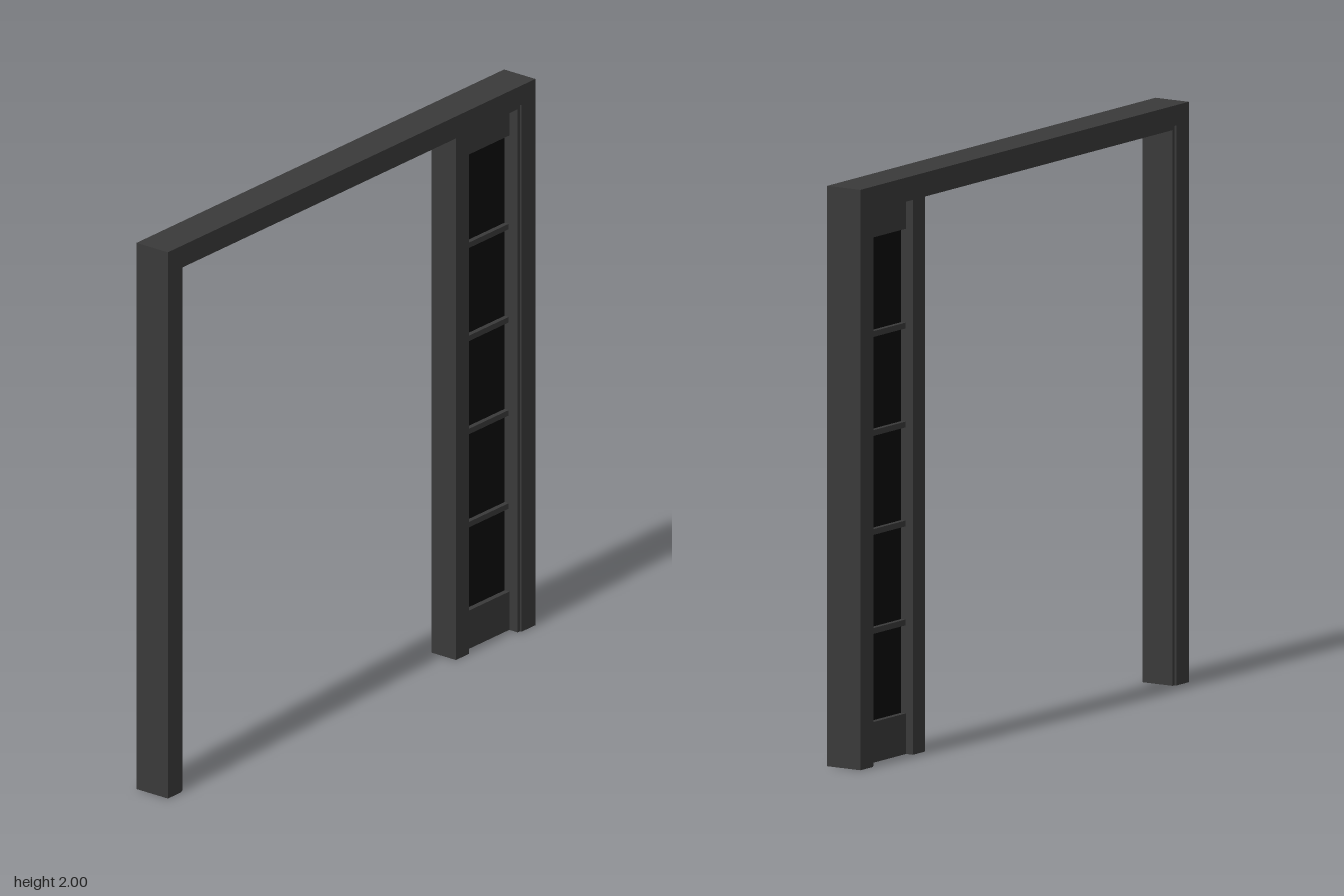
import * as THREE from 'three';

const frameMat = new THREE.MeshStandardMaterial({ color: 0x3a3a3a });
const glassMat = new THREE.MeshStandardMaterial({ color: 0x0b0b0b });

// Box given by its limits in x and y, centred on z
function slab(name, x0, x1, y0, y1, depth, mat = frameMat) {
  const mesh = new THREE.Mesh(new THREE.BoxGeometry(x1 - x0, y1 - y0, depth), mat);
  mesh.position.set((x0 + x1) / 2, (y0 + y1) / 2, 0);
  mesh.name = name;
  return mesh;
}

// Upside-down U between an outer and an inner outline, centred on z
function portal(name, outerX, outerY, innerX, innerY, depth) {
  const shape = new THREE.Shape([
    [-outerX, 0], [-innerX, 0], [-innerX, innerY], [innerX, innerY],
    [innerX, 0], [outerX, 0], [outerX, outerY], [-outerX, outerY],
  ].map(([x, y]) => new THREE.Vector2(x, y)));
  const geo = new THREE.ExtrudeGeometry(shape, { depth, bevelEnabled: false });
  geo.translate(0, 0, -depth / 2);
  const mesh = new THREE.Mesh(geo, frameMat);
  mesh.name = name;
  return mesh;
}

export function createModel() {
  const model = new THREE.Group();
  model.name = 'doorFrame';

  // Casing around the opening, with a slightly recessed inner lining
  model.add(portal('casing', 0.995, 2, 0.92, 1.93, 0.136));
  model.add(portal('jambLining', 0.92, 1.93, 0.907, 1.915, 0.122));

  // Narrow glazed side panel on the model's left
  const side = new THREE.Group();
  side.name = 'sidelight';
  const x0 = 0.655, x1 = 0.907;
  side.add(slab('mullionPost', 0.583, x0, 0, 1.915, 0.106));
  side.add(slab('bottomRail', x0, x1, 0, 0.14, 0.05));
  side.add(slab('topRail', x0, x1, 1.81, 1.915, 0.05));
  side.add(slab('glass', x0, x1, 0.14, 1.81, 0.01, glassMat));

  // Four bars divide the glass into five panes
  for (let i = 0; i < 4; i++) {
    const y = 0.453 + i * 0.341;
    side.add(slab('glazingBar', x0, x1, y - 0.01, y + 0.01, 0.045));
  }
  model.add(side);
  return model;
}
